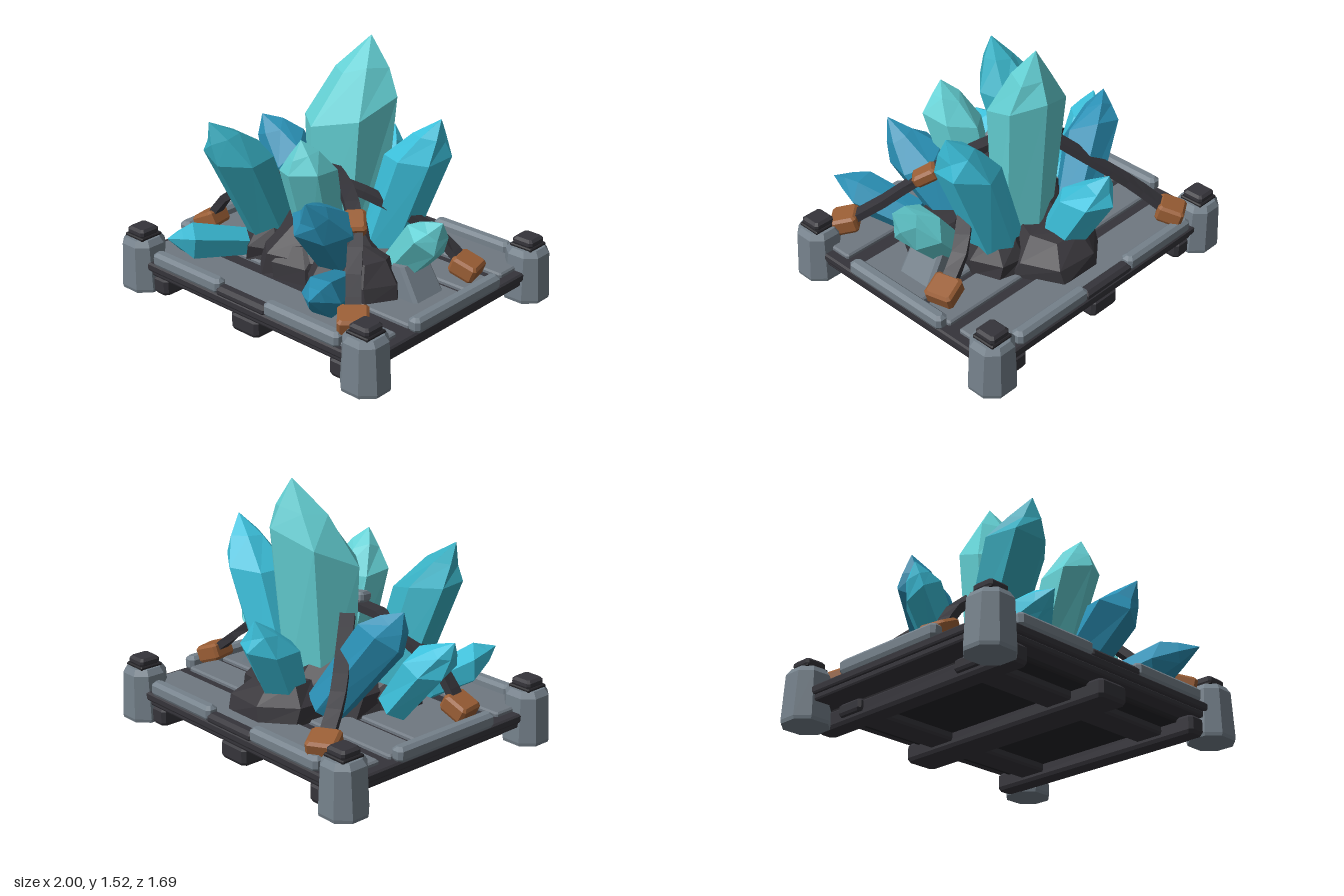
import * as THREE from 'three';

const mat = (name, color) => {
  const m = new THREE.MeshStandardMaterial({ color, flatShading: true });
  m.name = name;
  return m;
};
const V = (x, y, z) => new THREE.Vector3(x, y, z);

// Small seeded generator for irregular facets
function seeded(seed) {
  let s = seed * 7919 + 17;
  return () => ((s = (s * 16807) % 2147483647) / 2147483647);
}

// Flat-faced solid through rings of equal size, counter-clockwise about their path
function loft(rings) {
  const p = [];
  const tri = (a, b, c) => p.push(a.x, a.y, a.z, b.x, b.y, b.z, c.x, c.y, c.z);
  const n = rings[0].length;
  for (let i = 0; i + 1 < rings.length; i++) {
    for (let j = 0; j < n; j++) {
      const k = (j + 1) % n, a = rings[i], b = rings[i + 1];
      tri(a[j], a[k], b[k]);
      tri(a[j], b[k], b[j]);
    }
  }
  const lo = rings[0], hi = rings[rings.length - 1];
  for (let j = 1; j + 1 < n; j++) {
    tri(lo[0], lo[j + 1], lo[j]);
    tri(hi[0], hi[j], hi[j + 1]);
  }
  const g = new THREE.BufferGeometry();
  g.setAttribute('position', new THREE.Float32BufferAttribute(p, 3));
  g.computeVertexNormals();
  return g;
}

// Rectangle with cut corners at height y
function octagon(w, d, c, y) {
  const a = w / 2, b = d / 2;
  return [[a, b - c], [a, c - b], [a - c, -b], [c - a, -b], [-a, c - b], [-a, b - c], [c - a, b], [a - c, b]]
    .map(([x, z]) => V(x, y, z));
}

function chamferBox(w, h, d, c) {
  return loft([
    octagon(w - c, d - c, c, -h / 2), octagon(w, d, c, c - h / 2),
    octagon(w, d, c, h / 2 - c), octagon(w - 2 * c, d - 2 * c, c * 0.7, h / 2),
  ]);
}

// Six-sided crystal: straight body from foot to shoulder, then an off-centre point
// whose nearer shoulders ride higher
function crystalGeometry(foot, mid, tip, r, squash, seed) {
  const rnd = seeded(seed);
  const axis = mid.clone().sub(foot).normalize();
  const turn = new THREE.Quaternion().setFromUnitVectors(V(0, 1, 0), axis);
  const start = rnd() * 2;
  const lean = tip.clone().sub(mid);
  lean.addScaledVector(axis, -lean.dot(axis)).normalize();
  const flat = V(0.6, 0, 0.8);
  const ring = (centre, k, rise, jitter) => Array.from({ length: 6 }, (_, i) => {
    const a = start + i * Math.PI / 3;
    const q = r * k * (1 + (rnd() - 0.5) * jitter);
    const off = V(Math.cos(a) * q, 0, -Math.sin(a) * q).applyQuaternion(turn);
    off.addScaledVector(flat, -squash * off.dot(flat));
    return off.addScaledVector(axis, rise * off.dot(lean) + (rnd() - 0.5) * jitter * r).add(centre);
  });
  return loft([
    ring(foot, 0.84, 0, 0.05), ring(mid, 1.02, 0.5, 0.16),
    ring(mid.clone().lerp(tip, 0.55), 0.55, 0.25, 0.25), ring(tip, 0.01, 0, 0),
  ]);
}

// Irregular boulder
function rockGeometry(r, h, seed) {
  const rnd = seeded(seed);
  const ring = (y, k) => Array.from({ length: 7 }, (_, i) => {
    const a = i * Math.PI * 2 / 7 + (rnd() - 0.5) * 0.2;
    const q = r * k * (0.92 + rnd() * 0.16);
    return V(Math.cos(a) * q, y * (0.92 + rnd() * 0.16), -Math.sin(a) * q);
  });
  return loft([ring(0, 1), ring(h * 0.45, 0.95), ring(h, 0.6)]);
}

// Flat strap swept along a curve
function strapGeometry(points, width, thick) {
  const curve = new THREE.CatmullRomCurve3(points);
  const rings = [];
  for (let i = 0; i <= 8; i++) {
    const c = curve.getPoint(i / 8), t = curve.getTangent(i / 8);
    const u = V(0, 1, 0).cross(t).normalize();
    const v = t.clone().cross(u);
    rings.push([[1, 1], [-1, 1], [-1, -1], [1, -1]].map(([a, b]) =>
      c.clone().addScaledVector(u, a * width / 2).addScaledVector(v, b * thick / 2)));
  }
  return loft(rings);
}

export function createModel() {
  const root = new THREE.Group();
  root.name = 'crystalPlatform';
  const steel = mat('steelGrey', 0x75818b);
  const deckGrey = mat('deckGrey', 0x6f7881);
  const dark = mat('darkFrame', 0x35343a);
  const black = mat('underside', 0x242327);
  const rock = mat('rock', 0x38363b);
  const copper = mat('copper', 0x9a5e35);
  const pale = mat('paleCrystal', 0x64d0d4);
  const cyan = mat('cyanCrystal', 0x3cc1dc);
  const teal = mat('tealCrystal', 0x37adc0);
  const blue = mat('blueCrystal', 0x2a90b5);

  const base = new THREE.Group();
  base.name = 'base';
  base.position.z = -0.018;
  root.add(base);
  const add = (parent, name, g, m, x = 0, y = 0, z = 0) => {
    const mesh = new THREE.Mesh(g, m);
    mesh.name = name;
    mesh.position.set(x, y, z);
    parent.add(mesh);
    return mesh;
  };
  const block = (name, m, x, y, z, w, h, d, c = 0.02) =>
    add(base, name, chamferBox(w, h, d, c), m, x, y, z);

  // Frame and the beams beneath it
  block('frameLower', dark, 0, 0.13, 0, 1.83, 0.04, 1.51, 0.01);
  block('frameUpper', dark, 0, 0.17, 0, 1.86, 0.05, 1.55, 0.01);
  block('underPanel', black, 0, 0.1, 0, 1.5, 0.04, 1.3, 0.01);
  for (const x of [-0.7, 0, 0.7]) block('runner', dark, x, 0.055, 0, x ? 0.12 : 0.21, 0.11, 1.5);
  for (const z of [-0.45, 0.45]) block('crossBeam', dark, 0, 0.07, z, 1.58, 0.07, 0.18, 0.015);

  // Deck planks
  for (const [a, b] of [[-0.72, -0.47], [-0.4, -0.19], [-0.15, 0.34], [0.44, 0.72]])
    block('deckPlank', deckGrey, 0, 0.2, (a + b) / 2 + 0.018, 1.74, 0.04, b - a, 0.01);

  // Edge rails
  for (const s of [-1, 1]) {
    block('sideRail', steel, s * 0.9, 0.23, 0, 0.08, 0.085, 0.74);
    block('middleBumper', dark, 0, 0.21, s * 0.735, 0.4, 0.06, 0.08);
    for (const x of [-0.45, 0.45]) block('edgeRail', steel, x, 0.23, s * 0.735, 0.55, 0.085, 0.08);
  }

  // Corner posts
  const post = loft([
    octagon(0.25, 0.24, 0.065, 0), octagon(0.26, 0.25, 0.07, 0.02),
    octagon(0.228, 0.23, 0.06, 0.285), octagon(0.18, 0.19, 0.05, 0.32),
  ]);
  for (const x of [-0.87, 0.87]) for (const z of [-0.707, 0.707]) {
    add(base, 'cornerPost', post, steel, x, 0, z);
    block('postCollar', black, x, 0.325, z, 0.15, 0.02, 0.15, 0.006);
    block('postCap', dark, x, 0.353, z, 0.135, 0.05, 0.135, 0.015);
  }

  // Grey wedge beneath the right crystal
  add(root, 'wedge', loft([octagon(0.32, 0.25, 0.02, 0.2), octagon(0.08, 0.23, 0.02, 0.4)]), steel, 0.6, 0, 0.015);

  // Rock mound
  [
    [-0.02, 0, 0.42, 0.28], [0.02, -0.36, 0.3, 0.21], [-0.02, 0.2, 0.22, 0.2], [-0.3, 0.14, 0.22, 0.2],
    [0.42, 0.16, 0.21, 0.22], [0.28, -0.18, 0.2, 0.2], [0.25, 0.24, 0.17, 0.17],
  ].forEach(([x, z, r, h], i) => add(root, 'rock', rockGeometry(r, h, i + 3), rock, x, 0.205, z));

  // Crystals: name, colour, foot, shoulder centre, tip, radius, flattening
  [
    ['mainCrystal', pale, V(0, 0.3, -0.11), V(0.015, 1.13, -0.155), V(0.06, 1.52, -0.26), 0.275, 0.25],
    ['tallRightCrystal', cyan, V(0.25, 0.3, -0.17), V(0.49, 0.93, -0.17), V(0.645, 1.19, -0.17), 0.175],
    ['frontCrystal', pale, V(0.09, 0.36, 0.16), V(0.12, 0.9, 0.32), V(0.14, 1.1, 0.4), 0.16],
    ['frontLeftCrystal', teal, V(-0.34, 0.32, 0.13), V(-0.37, 0.88, 0.38), V(-0.42, 1.1, 0.55), 0.175],
    ['backLeftCrystal', blue, V(-0.25, 0.28, -0.28), V(-0.55, 0.72, -0.16), V(-0.68, 0.9, -0.12), 0.15],
    ['leftCrystal', cyan, V(-0.5, 0.28, 0), V(-0.73, 0.58, 0.04), V(-0.85, 0.72, 0.1), 0.125],
    ['lowLeftCrystal', cyan, V(-0.42, 0.29, 0.32), V(-0.51, 0.37, 0.62), V(-0.525, 0.44, 0.8), 0.11],
    ['frontRightCrystal', blue, V(0.25, 0.35, 0.18), V(0.33, 0.67, 0.43), V(0.37, 0.86, 0.61), 0.16],
    ['lowRightCrystal', blue, V(0.4, 0.29, 0.36), V(0.52, 0.38, 0.65), V(0.61, 0.46, 0.84), 0.125],
    ['rightCrystal', pale, V(0.5, 0.32, -0.02), V(0.71, 0.56, 0.01), V(0.85, 0.71, 0.05), 0.13],
    ['backCrystal', cyan, V(-0.02, 0.28, -0.37), V(-0.07, 0.64, -0.54), V(-0.1, 0.83, -0.67), 0.15],
  ].forEach(([name, m, foot, mid, tip, r, squash = 0], i) =>
    add(root, name, crystalGeometry(foot, mid, tip, r, squash, i + 11), m));

  // Straps running up from copper clamps
  const clamp = (at, toward, w, h, d) =>
    add(root, 'clamp', chamferBox(w, h, d, 0.016), copper, at.x, at.y, at.z).lookAt(toward);
  [
    [V(-0.67, 0.3, -0.68), V(-0.55, 0.46, -0.48), V(-0.38, 0.63, -0.28), V(-0.24, 0.77, -0.12)],
    [V(0.72, 0.3, 0.62), V(0.57, 0.45, 0.45), V(0.41, 0.65, 0.26), V(0.22, 0.76, 0.13), V(0.02, 0.81, 0.04)],
    [V(-0.78, 0.29, 0.23), V(-0.66, 0.47, 0.21), V(-0.48, 0.59, 0.16), V(-0.22, 0.72, 0.14), V(0.02, 0.73, 0.12)],
    [V(0.78, 0.31, -0.27), V(0.62, 0.46, -0.23), V(0.48, 0.58, -0.13), V(0.25, 0.7, 0), V(0, 0.76, 0.1)],
  ].forEach((path) => {
    add(root, 'strap', strapGeometry(path, 0.085, 0.045), dark);
    const flat = path[1].clone().setY(path[0].y + 0.07);
    clamp(path[0].clone().add(V(0, 0.01, 0)), flat, 0.17, 0.1, 0.16);
  });
  clamp(V(0.41, 0.65, 0.26), V(0.25, 0.77, 0.1), 0.12, 0.075, 0.15);

  // Grey buckle where the straps meet
  const buckle = block('buckle', steel, -0.05, 0.785, 0.14, 0.14, 0.06, 0.13, 0.015);
  buckle.rotation.set(0.2, 0.4, -0.1);

  return root;
}
